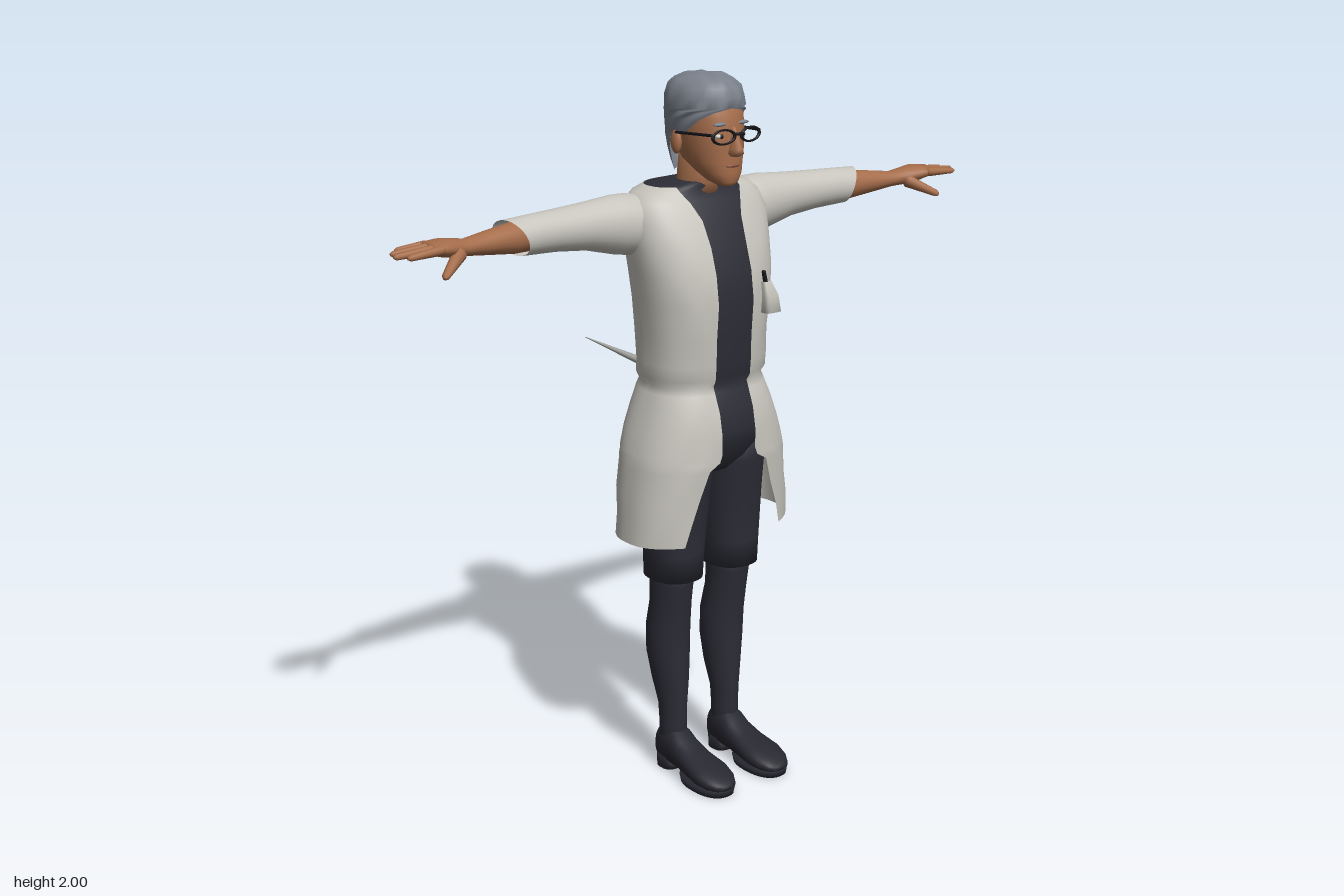
import * as THREE from 'three';
import { mergeVertices } from 'three/addons/utils/BufferGeometryUtils.js';

const mat = (name, color, side = THREE.FrontSide) => {
  const m = new THREE.MeshStandardMaterial({ color, side });
  m.name = name;
  return m;
};

// Skin through elliptical sections along y: [t, cu, cv, ru, rv, startAngle, endAngle]; angle 0 faces +z
function loft(rings, { seg = 28, p = 2, cap = true, rule = null } = {}) {
  const rows = cap ? [[...rings[0]], ...rings, [...rings.at(-1)]] : rings;
  if (cap) for (const r of [rows[0], rows.at(-1)]) r[3] = r[4] = 0;
  const pos = [], idx = [], v = new THREE.Vector3();
  const pw = (k) => Math.sign(k) * Math.pow(Math.abs(k), 2 / p);
  for (const [t, cu, cv, ru, rv, a0 = 0, a1 = Math.PI * 2] of rows) {
    for (let i = 0; i <= seg; i++) {
      const a = a0 + (a1 - a0) * i / seg;
      v.set(cu + ru * pw(Math.sin(a)), t, cv + rv * pw(Math.cos(a)));
      if (rule) rule(v);
      pos.push(v.x, v.y, v.z);
    }
  }
  const n = seg + 1;
  for (let j = 0; j < rows.length - 1; j++) {
    for (let i = 0; i < seg; i++) {
      const a = j * n + i, b = a + 1, c = a + n, d = c + 1;
      idx.push(a, b, d, a, d, c);
    }
  }
  let g = new THREE.BufferGeometry();
  g.setAttribute('position', new THREE.Float32BufferAttribute(pos, 3));
  g.setIndex(idx);
  g = mergeVertices(g, 1e-5);
  g.computeVertexNormals();
  return g;
}

// Sections along x are written [x, y, z, ry, rz]; along z they are [z, x, y, rx, ry]
const loftX = (rings, o) => loft(rings.map(([x, y, z, ry, rz]) => [x, -y, z, ry, rz]), o).rotateZ(-Math.PI / 2);
const loftZ = (rings, o) => loft(rings.map(([z, x, y, rx, ry]) => [z, x, -y, rx, ry]), o).rotateX(Math.PI / 2);

// Rounded tapering rod between two points
function rod(a, b, r0, r1) {
  const A = new THREE.Vector3(...a), d = new THREE.Vector3(...b).sub(A), L = d.length();
  const g = loft([[0, 0, 0, r0 * 0.6, r0 * 0.6], [r0 * 0.5, 0, 0, r0, r0],
    [L - r1 * 0.8, 0, 0, r1, r1], [L, 0, 0, r1 * 0.5, r1 * 0.5]], { seg: 10 });
  g.applyQuaternion(new THREE.Quaternion().setFromUnitVectors(new THREE.Vector3(0, 1, 0), d.normalize()));
  return g.translate(...a);
}

const blob = (x, y, z, sx, sy, sz) => new THREE.SphereGeometry(1, 18, 12).scale(sx, sy, sz).translate(x, y, z);

function mirrored(g) {
  const m = g.clone().scale(-1, 1, 1), ix = m.index.array;
  for (let i = 0; i < ix.length; i += 3) [ix[i], ix[i + 1]] = [ix[i + 1], ix[i]];
  m.computeVertexNormals();
  return m;
}

export function createModel() {
  const model = new THREE.Group();
  const coat = mat('coat cloth', 0xc6c4bc, THREE.DoubleSide);
  const dark = mat('dark cloth', 0x2c2d36);
  const leather = mat('shoe leather', 0x272730);
  const skin = mat('skin', 0xa56d4b);
  const hair = mat('grey hair', 0x7b818b, THREE.DoubleSide);
  const frame = mat('black frame', 0x15151a);
  const white = mat('eye white', 0xd8d4cc);
  const lip = mat('lips', 0x8a5140);
  const metal = mat('grey tie', 0x9b9b97);

  const add = (name, g, m) => {
    const mesh = new THREE.Mesh(g, m);
    mesh.name = name;
    model.add(mesh);
  };
  const pair = (name, g, m) => {
    add('left' + name, g, m);
    add('right' + name, mirrored(g), m);
  };

  // Coat halves: [y, cz, rx, rz, half width of front opening, half width of back opening]
  const P = 2.4;
  const coatRings = [
    [0.735, -0.01, 0.265, 0.16, 0.168, 0.11], [0.8, -0.01, 0.26, 0.163, 0.15, 0.112],
    [0.87, -0.012, 0.254, 0.167, 0.125, 0.108], [0.945, -0.013, 0.245, 0.17, 0.1, 0.1],
    [0.965, -0.014, 0.242, 0.17, 0.066, 0.09], [0.985, -0.014, 0.238, 0.17, 0.058, 0.01],
    [1.04, -0.014, 0.222, 0.167, 0.058, 0], [1.1, -0.015, 0.2, 0.158, 0.058, 0],
    [1.15, -0.015, 0.182, 0.142, 0.058, 0], [1.17, -0.015, 0.174, 0.133, 0.058, 0],
    [1.19, -0.015, 0.184, 0.142, 0.06, 0], [1.23, -0.014, 0.184, 0.143, 0.06, 0],
    [1.3, -0.012, 0.185, 0.148, 0.06, 0], [1.4, -0.012, 0.195, 0.152, 0.06, 0],
    [1.48, -0.018, 0.205, 0.149, 0.06, 0], [1.55, -0.03, 0.215, 0.136, 0.06, 0],
    [1.62, -0.04, 0.22, 0.12, 0.066, 0], [1.665, -0.053, 0.208, 0.106, 0.085, 0],
    [1.69, -0.058, 0.18, 0.096, 0.1, 0.015], [1.703, -0.06, 0.14, 0.085, 0.1, 0.035],
  ];
  const edge = (w, rx) => Math.asin(Math.pow(w / rx, P / 2));
  const folds = (v) => {
    v.z += 0.003 * Math.sin(v.y * 41 + v.x * 30) * Math.sin(v.x * 34);
    if (v.z < -0.05 && v.y > 0.97) v.z += 0.013 * Math.exp(-((v.x / 0.012) ** 2));
  };
  pair('CoatHalf', loft(coatRings.map(([y, cz, rx, rz, f, b]) =>
    [y, 0, cz, rx, rz, edge(f, rx), Math.PI - edge(b, rx)]), { seg: 36, p: P, cap: false, rule: folds }), coat);

  // Sleeves with slanted cuffs
  const sleeve = loftX([[0.15, 1.605, -0.068, 0.07, 0.07], [0.2, 1.606, -0.07, 0.083, 0.077],
    [0.25, 1.61, -0.072, 0.08, 0.07], [0.35, 1.619, -0.07, 0.063, 0.06], [0.45, 1.622, -0.066, 0.055, 0.054],
    [0.52, 1.622, -0.062, 0.052, 0.051], [0.58, 1.621, -0.06, 0.049, 0.05]], { cap: false });
  const sp = sleeve.attributes.position;
  for (let i = 0; i < sp.count; i++) {
    const x = sp.getX(i);
    if (x > 0.5) sp.setX(i, x + (x - 0.5) * ((sp.getY(i) - 1.62) - (sp.getZ(i) + 0.06)) * 5);
  }
  sleeve.computeVertexNormals();
  pair('Sleeve', sleeve, coat);

  // Chest pocket, pen and loose tie at the back of the waist
  add('pocket', loft([[1.355, 0.125, 0.128, 0.028, 0.024], [1.4, 0.122, 0.128, 0.023, 0.02],
    [1.44, 0.112, 0.125, 0.014, 0.014]], { p: 4 }), coat);
  add('pen', rod([0.112, 1.42, 0.13], [0.102, 1.472, 0.128], 0.007, 0.006), frame);
  add('waistTie', rod([-0.05, 1.165, -0.15], [-0.235, 1.268, -0.23], 0.014, 0.001), metal);

  // Shirt and pelvis, just inside the coat
  const inner = coatRings.filter((r) => r[0] > 1.03 && r[0] < 1.7)
    .map(([y, cz, rx, rz]) => [y, 0, cz, rx - 0.014, rz - 0.013]);
  add('shirt', loft([[0.91, 0, -0.012, 0.1, 0.08], [0.95, 0, -0.012, 0.165, 0.115],
    [1.0, 0, -0.012, 0.185, 0.138], ...inner, [1.702, 0, -0.058, 0.135, 0.088],
    [1.713, 0, -0.04, 0.066, 0.064]], { p: P, seg: 40 }), dark);

  // Shorts, stockings and shoes
  pair('ShortsLeg', loft([[0.602, 0.1, -0.015, 0.076, 0.086], [0.68, 0.099, -0.013, 0.08, 0.087],
    [0.76, 0.097, -0.012, 0.086, 0.09], [0.86, 0.094, -0.012, 0.088, 0.104],
    [0.93, 0.092, -0.013, 0.088, 0.118], [1.0, 0.09, -0.013, 0.085, 0.12]], { p: 2.3 }), dark);
  pair('Stocking', loft([[0.06, 0.097, -0.025, 0.038, 0.042], [0.14, 0.096, -0.023, 0.038, 0.042],
    [0.2, 0.096, -0.025, 0.039, 0.046], [0.28, 0.096, -0.036, 0.05, 0.06], [0.36, 0.098, -0.043, 0.06, 0.066],
    [0.44, 0.099, -0.041, 0.062, 0.066], [0.52, 0.101, -0.026, 0.057, 0.064],
    [0.58, 0.102, -0.02, 0.06, 0.066], [0.66, 0.1, -0.015, 0.066, 0.072]]), dark);
  pair('Shoe', loftZ([[-0.072, 0.096, 0.065, 0.025, 0.03], [-0.06, 0.096, 0.07, 0.037, 0.052],
    [-0.025, 0.096, 0.074, 0.043, 0.06], [0.012, 0.096, 0.072, 0.045, 0.057], [0.04, 0.096, 0.062, 0.047, 0.045],
    [0.09, 0.097, 0.05, 0.052, 0.036], [0.15, 0.098, 0.041, 0.06, 0.029], [0.19, 0.098, 0.034, 0.053, 0.022],
    [0.218, 0.098, 0.029, 0.036, 0.014], [0.228, 0.098, 0.026, 0.018, 0.008]], { p: 2.4 }), leather);
  pair('Heel', loft([[0, 0.096, -0.034, 0.038, 0.036], [0.04, 0.096, -0.032, 0.04, 0.039]], { p: 2.6 }), leather);
  pair('Sole', loft([[0, 0.098, 0.135, 0.056, 0.092], [0.02, 0.098, 0.135, 0.06, 0.096]], { p: 2.3 }), leather);

  // Forearms, hands, fingers and thumbs
  pair('Forearm', loftX([[0.48, 1.622, -0.062, 0.04, 0.04], [0.58, 1.622, -0.058, 0.041, 0.038],
    [0.66, 1.622, -0.05, 0.031, 0.034], [0.73, 1.622, -0.042, 0.022, 0.028], [0.77, 1.627, -0.034, 0.024, 0.036],
    [0.81, 1.634, -0.027, 0.023, 0.046], [0.845, 1.637, -0.025, 0.016, 0.048]], { seg: 20 }), skin);
  [[-0.062, -0.075, 0.91], [-0.037, -0.045, 0.94], [-0.011, -0.012, 0.95], [0.014, 0.02, 0.93]].forEach(
    ([z0, z1, tip], i) => pair('Finger' + (i + 1), rod([0.825, 1.638, z0], [tip, 1.632, z1], 0.0125, 0.008), skin));
  pair('Thumb', rod([0.76, 1.62, -0.012], [0.845, 1.575, 0.045], 0.019, 0.01), skin);

  // Neck and head
  add('neck', loft([[1.67, 0, -0.035, 0.066, 0.066], [1.71, 0, -0.027, 0.056, 0.06],
    [1.79, 0, -0.012, 0.056, 0.066]]), skin);
  add('head', loft([[1.712, 0, 0.09, 0.022, 0.025], [1.722, 0, 0.078, 0.038, 0.044],
    [1.745, 0, 0.06, 0.056, 0.066], [1.775, 0, 0.034, 0.07, 0.09], [1.81, 0, 0.022, 0.079, 0.103],
    [1.85, 0, 0.016, 0.084, 0.108], [1.89, 0, 0.013, 0.085, 0.106], [1.92, 0, 0.01, 0.08, 0.098],
    [1.96, 0, 0.005, 0.06, 0.08], [1.98, 0, 0, 0.03, 0.04]], { p: 2.15 }), skin);
  add('nose', loft([[1.792, 0, 0.122, 0.012, 0.02], [1.8, 0, 0.126, 0.019, 0.032], [1.812, 0, 0.124, 0.016, 0.033],
    [1.84, 0, 0.118, 0.01, 0.023], [1.868, 0, 0.112, 0.008, 0.014]], { seg: 14 }), skin);
  add('mouth', blob(0, 1.766, 0.118, 0.024, 0.006, 0.01), lip);
  pair('Ear', blob(0.088, 1.822, -0.008, 0.012, 0.032, 0.019).rotateX(0), skin);
  pair('Eye', blob(0.036, 1.845, 0.109, 0.015, 0.007, 0.011), white);
  pair('Iris', blob(0.036, 1.845, 0.117, 0.006, 0.006, 0.005), frame);
  pair('Brow', blob(0.038, 1.876, 0.112, 0.021, 0.005, 0.009), hair);

  // Hair: open around the face, ruffled on top
  const hairRing = (y, cz, rx, rz, deg) => {
    const a = deg * Math.PI / 180;
    return [y, 0, cz, rx, rz, a, Math.PI * 2 - a];
  };
  const ruffle = (v) => {
    const k = 0.004 * Math.sin(v.x * 95 + v.y * 40) * Math.sin(v.z * 80 + v.y * 60);
    v.x *= 1 + k * 8;
    v.y += v.y > 1.93 ? k : 0;
    v.z += k;
  };
  add('hair', loft([hairRing(1.735, -0.035, 0.058, 0.056, 118), hairRing(1.765, -0.03, 0.07, 0.072, 112),
    hairRing(1.8, -0.022, 0.081, 0.09, 108), hairRing(1.835, -0.012, 0.09, 0.106, 100),
    hairRing(1.855, -0.006, 0.094, 0.112, 68), hairRing(1.885, -0.002, 0.097, 0.118, 52),
    hairRing(1.905, 0, 0.099, 0.119, 30), hairRing(1.915, 0, 0.099, 0.119, 0), hairRing(1.94, 0.001, 0.098, 0.118, 0),
    hairRing(1.965, 0, 0.09, 0.109, 0), hairRing(1.983, -0.001, 0.073, 0.09, 0), hairRing(1.994, -0.001, 0.046, 0.06, 0),
    hairRing(1.998, 0, 0.015, 0.02, 0), hairRing(1.999, 0, 0, 0, 0)], { seg: 48, cap: false, rule: ruffle }), hair);

  // Glasses
  pair('GlassesRim', new THREE.TorusGeometry(0.028, 0.0042, 8, 28).scale(1.2, 0.66, 1)
    .rotateY(0.12).translate(0.045, 1.847, 0.137), frame);
  add('glassesBridge', rod([-0.014, 1.852, 0.143], [0.014, 1.852, 0.143], 0.004, 0.004), frame);
  pair('GlassesArm', rod([0.08, 1.854, 0.133], [0.094, 1.848, -0.005], 0.004, 0.004), frame);

  return model;
}
